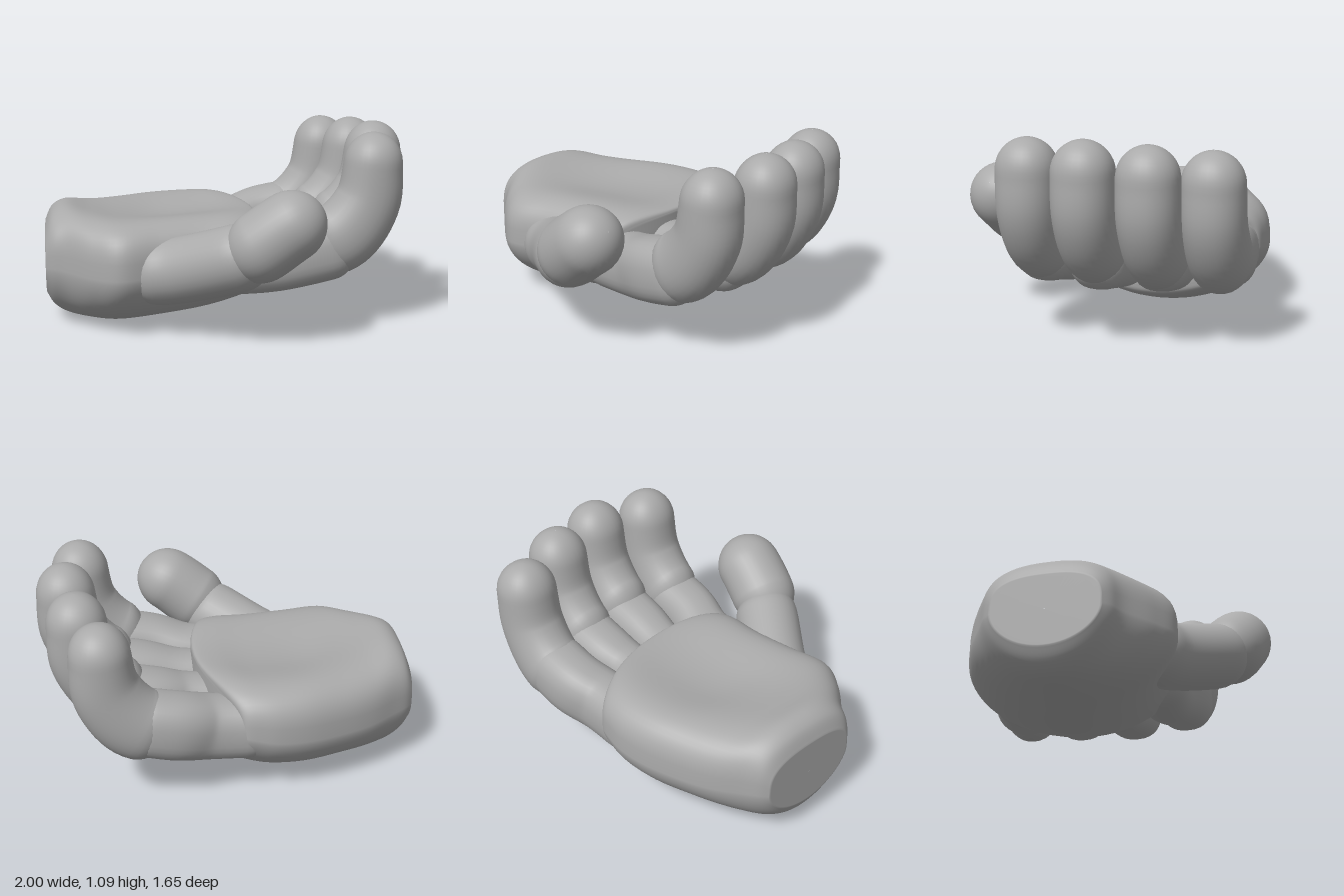
import * as THREE from 'three';

const skin = new THREE.MeshStandardMaterial({ color: 0xaaaaaa });
skin.name = 'grey skin';

const sgnPow = (v, e) => Math.sign(v) * Math.abs(v) ** e;

// Catmull-Rom interpolation through rows of numbers, u in 0..1
function sampleRows(rows, u) {
  const f = u * (rows.length - 1);
  const i = Math.min(Math.floor(f), rows.length - 2);
  const t = f - i;
  const row = (k) => rows[Math.min(Math.max(k, 0), rows.length - 1)];
  return rows[0].map((_, c) => {
    const [a, b, d, e] = [row(i - 1)[c], row(i)[c], row(i + 1)[c], row(i + 2)[c]];
    return b + 0.5 * t * (d - a + t * (2 * a - 5 * b + 4 * d - e + t * (3 * (b - d) + e - a)));
  });
}

// Smooth skin over closed rings of points
function skinRings(name, rings) {
  const n = rings[0].length;
  const index = [];
  for (let i = 0; i < rings.length - 1; i++) {
    for (let j = 0; j < n; j++) {
      const k = (j + 1) % n;
      const a = i * n + j, b = i * n + k, c = a + n, d = b + n;
      index.push(a, b, c, b, d, c);
    }
  }
  const geo = new THREE.BufferGeometry();
  geo.setAttribute('position', new THREE.Float32BufferAttribute(rings.flat(2), 3));
  geo.setIndex(index);
  geo.computeVertexNormals();
  const mesh = new THREE.Mesh(geo, skin);
  mesh.name = name;
  return mesh;
}

// Round-ended limb; each row is x, y, z, thickness radius, width radius.
// An exponent below 1 makes the section squarer.
function limb(name, rows, exponent = 1, steps = 40, sides = 32) {
  const at = (u) => new THREE.Vector3(...sampleRows(rows, u));
  const first = at(0), last = at(1);
  const side = last.clone().sub(first).cross(new THREE.Vector3(0, 1, 0)).normalize();
  const us = Array.from({ length: steps + 1 }, (_, i) => (1 - Math.cos((Math.PI * i) / steps)) / 2);
  const centres = us.map(at);
  const lengths = [0];
  for (let i = 1; i <= steps; i++) lengths.push(lengths[i - 1] + centres[i].distanceTo(centres[i - 1]));
  const rings = us.map((u, i) => {
    const [, , , rn, rs] = sampleRows(rows, u);
    const tangent = at(Math.min(u + 0.01, 1)).sub(at(Math.max(u - 0.01, 0))).normalize();
    const s = side.clone().addScaledVector(tangent, -side.dot(tangent)).normalize();
    const normal = tangent.clone().cross(s);
    const d = Math.min(lengths[i], lengths[steps] - lengths[i]) / rs;
    const round = d < 1 ? Math.max(Math.sqrt(1 - (1 - d) ** 2), 0.01) : 1;
    return Array.from({ length: sides }, (_, j) => {
      const a = (j / sides) * Math.PI * 2;
      return centres[i].clone()
        .addScaledVector(s, sgnPow(Math.cos(a), exponent) * rs * round)
        .addScaledVector(normal, sgnPow(Math.sin(a), exponent) * rn * round).toArray();
    });
  });
  return skinRings(name, rings);
}

// Palm: sections from wrist to knuckles, with a hollow on top
function palm() {
  // x, zMin, zMax, yMin, yMax, hollow depth, knuckle bow
  const rows = [
    [-1, -0.42, 0.15, 0.15, 0.54, 0, 0],
    [-0.96, -0.46, 0.19, 0.08, 0.62, 0, 0],
    [-0.88, -0.51, 0.24, 0.03, 0.655, 0, 0],
    [-0.75, -0.59, 0.36, 0.01, 0.655, 0.03, 0],
    [-0.6, -0.66, 0.44, 0.002, 0.665, 0.07, 0],
    [-0.4, -0.73, 0.39, 0.004, 0.68, 0.11, 0.1],
    [-0.22, -0.76, 0.35, 0.03, 0.68, 0.1, 0.5],
    [-0.09, -0.755, 0.345, 0.08, 0.67, 0.07, 0.8],
    [-0.02, -0.74, 0.34, 0.13, 0.64, 0.04, 1],
    [0, -0.71, 0.32, 0.18, 0.59, 0.01, 1],
  ];
  const steps = 54, sides = 64;
  const ring = (u, scale) => {
    const [x, z0, z1, y0, y1, dip, bow] = sampleRows(rows, u);
    const zc = (z0 + z1) / 2, hz = (z1 - z0) / 2, yc = (y0 + y1) / 2, hy = (y1 - y0) / 2;
    return Array.from({ length: sides }, (_, j) => {
      const a = (j / sides) * Math.PI * 2;
      const up = -Math.sin(a);
      const w = sgnPow(Math.cos(a), up > 0 ? 0.8 : 1) * scale;
      const y = yc + hy * sgnPow(up, up > 0 ? 0.58 : 1.15) * scale
        - (up > 0 ? dip * (1 - w * w) ** 2 * up : 0);
      return [x + bow * (0.17 - 0.15 * w * w + 0.06 * w), y, zc + hz * w];
    });
  };
  const rings = [0.01, 0.5, 0.9, 0.97].map((s) => ring(0, s));
  for (let i = 0; i <= steps; i++) rings.push(ring(i / steps, 1));
  [0.97, 0.8, 0.5, 0.01].forEach((s) => rings.push(ring(1, s)));
  return skinRings('palm', rings);
}

// Finger: straight lower segment and curled upper segment
function finger(name, { baseX, baseZ, baseR, tipX, tipZ, tipY, lift = 0 }) {
  const g = new THREE.Group();
  g.name = name;
  const dx = tipX - 0.765, dy = tipY - 1.07;
  const midZ = THREE.MathUtils.lerp(baseZ, tipZ, 0.85);
  g.add(limb(name + 'Lower', [
    [baseX - 0.25, 0.36 + lift, baseZ, 0.165, baseR],
    [baseX + 0.08, 0.37 + lift, baseZ, 0.172, baseR],
    [0.4 + dx, 0.42 + lift, midZ, 0.178, 0.157],
    [0.68 + dx, 0.475 + lift, midZ, 0.17, 0.158],
  ], 0.82));
  g.add(limb(name + 'Upper', [
    [0.43 + dx, 0.43 + dy, midZ, 0.19, 0.16],
    [0.62 + dx, 0.52 + dy, tipZ, 0.195, 0.164],
    [0.74 + dx, 0.69 + dy, tipZ, 0.18, 0.164],
    [0.767 + dx, 0.88 + dy, tipZ, 0.16, 0.162],
    [0.77 + dx, 1.07 + dy, tipZ, 0.15, 0.157],
  ], 0.95));
  return g;
}

export function createModel() {
  const hand = new THREE.Group();
  hand.name = 'hand';
  hand.add(palm());

  hand.add(
    finger('indexFinger', { baseX: 0.1, baseZ: 0.23, baseR: 0.155, tipX: 0.763, tipZ: 0.28, tipY: 1.075 }),
    finger('middleFinger', { baseX: 0.16, baseZ: -0.06, baseR: 0.142, tipX: 0.838, tipZ: -0.045, tipY: 1.09 }),
    finger('ringFinger', { baseX: 0.14, baseZ: -0.325, baseR: 0.14, tipX: 0.78, tipZ: -0.36, tipY: 1.07 }),
    finger('littleFinger', { baseX: 0.02, baseZ: -0.595, baseR: 0.15, tipX: 0.667, tipZ: -0.66, tipY: 1.04, lift: 0.015 }),
  );

  // Thumb
  const thumb = new THREE.Group();
  thumb.name = 'thumb';
  thumb.add(limb('thumbLower', [
    [-0.56, 0.33, 0.24, 0.18, 0.17],
    [-0.3, 0.36, 0.33, 0.18, 0.178],
    [0, 0.47, 0.54, 0.18, 0.18],
    [0.14, 0.54, 0.61, 0.17, 0.17],
  ]));
  thumb.add(limb('thumbUpper', [
    [-0.05, 0.46, 0.55, 0.18, 0.175],
    [0.09, 0.535, 0.605, 0.188, 0.185],
    [0.24, 0.645, 0.635, 0.185, 0.185],
    [0.415, 0.75, 0.65, 0.175, 0.18],
  ]));
  hand.add(thumb);
  return hand;
}
